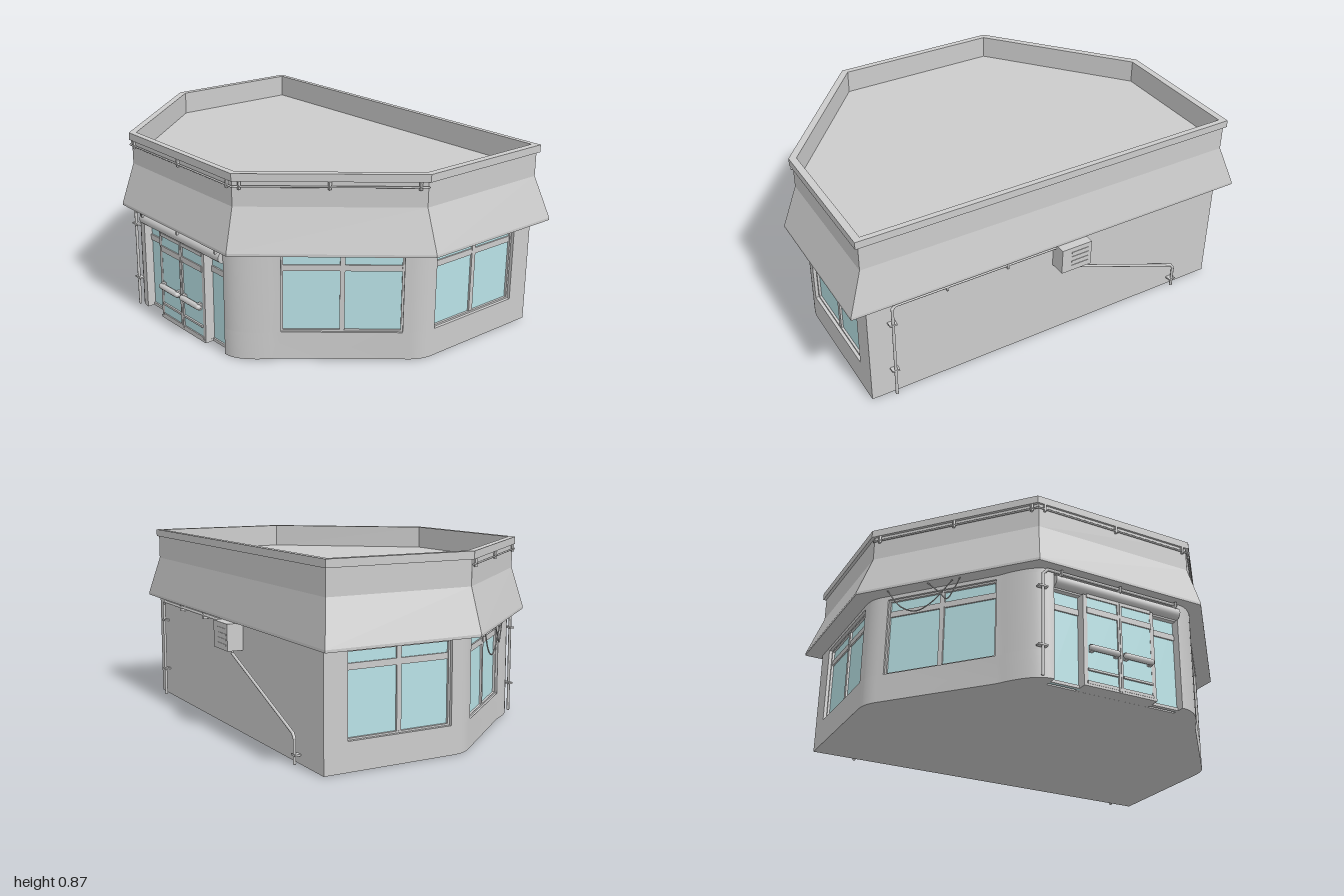
import * as THREE from 'three';
import { toCreasedNormals } from 'three/addons/utils/BufferGeometryUtils.js';

const grey = new THREE.MeshStandardMaterial({ color: 0xcccccc, side: THREE.DoubleSide });
const glass = new THREE.MeshStandardMaterial({ color: 0xb9e2e6 });
const V = (x, y, z) => new THREE.Vector3(x, y, z);

function add(parent, name, geo, mat = grey) {
  const m = new THREE.Mesh(geo, mat);
  m.name = name;
  parent.add(m);
  return m;
}

function box(parent, name, w, h, d, x, y, z, mat) {
  const m = add(parent, name, new THREE.BoxGeometry(w, h, d), mat);
  m.position.set(x, y, z);
  return m;
}

// Straight pipe runs with sharp bends
function pipe(parent, name, pts, r) {
  for (let i = 0; i + 1 < pts.length; i++)
    add(parent, name, new THREE.TubeGeometry(new THREE.LineCurve3(pts[i], pts[i + 1]), 1, r, 8));
  pts.forEach((p) => add(parent, name + 'Joint', new THREE.SphereGeometry(r * 1.1, 8, 6)).position.copy(p));
}

// Six-cornered outline: half width, back z, side corner z, front half width, front z
const ring = (w, zb, zm, f, zf) => [[w, zb], [w, zm], [f, zf], [-f, zf], [-w, zm], [-w, zb]];

// Skin stacked outlines, [y, ring]
function loft(levels) {
  const pos = [];
  for (let l = 0; l + 1 < levels.length; l++) {
    const [y0, r0] = levels[l], [y1, r1] = levels[l + 1];
    for (let i = 0; i < 6; i++) {
      const j = (i + 1) % 6;
      const a = [r0[i][0], y0, r0[i][1]], b = [r1[i][0], y1, r1[i][1]];
      const c = [r0[j][0], y0, r0[j][1]], d = [r1[j][0], y1, r1[j][1]];
      pos.push(...a, ...b, ...c, ...c, ...b, ...d);
    }
  }
  const g = new THREE.BufferGeometry();
  g.setAttribute('position', new THREE.Float32BufferAttribute(pos, 3));
  g.computeVertexNormals();
  return g;
}

// Point on the diagonal wall: s along it from the side corner, d inward
const diag = (s, d = 0) => [0.92 - 0.642 * s - 0.767 * d, 0.03 + 0.767 * s - 0.642 * d];

function curve(a, c, b) {
  const q = new THREE.QuadraticBezierCurve(...[a, c, b].map((p) => new THREE.Vector2(...p)));
  return q.getPoints(10).map((p) => [p.x, p.y]);
}

// Wall outline with rounded corners; optional recesses for windows and door
function wall(y0, y1, windows, door) {
  const half = [[0.92, -0.655]];
  if (windows) half.push([0.92, -0.545], [0.885, -0.545], [0.885, -0.04], [0.92, -0.04]);
  half.push(...curve([0.92, -0.03], [0.92, 0.03], diag(0.06)));
  if (windows) half.push(diag(0.09), diag(0.09, 0.03), diag(0.625, 0.03), diag(0.625));
  half.push(...curve(diag(0.635), [0.42, 0.677], [0.33, 0.677]));
  if (door) half.push([0.325, 0.677], [0.325, 0.61]);
  const all = [...half, ...half.map(([x, z]) => [-x, z]).reverse()];
  const shape = new THREE.Shape(all.map((p) => new THREE.Vector2(...p)));
  const g = new THREE.ExtrudeGeometry(shape, { depth: y1 - y0, bevelEnabled: false });
  g.rotateX(Math.PI / 2).translate(0, y1, 0);
  return toCreasedNormals(g, 0.5);
}

// Framed two-pane window, facing local +z
function windowUnit(parent, name, x, z, angle, w) {
  const g = new THREE.Group();
  g.name = name;
  g.position.set(x, 0.315, z);
  g.rotation.y = angle;
  const h = 0.37;
  box(g, 'pane', w, h, 0.01, 0, 0, 0.004, glass);
  for (const s of [-1, 1]) {
    box(g, 'frameSide', 0.009, h, 0.02, s * (w / 2 - 0.0045), 0, 0.01);
    box(g, 'frameRail', w, 0.008, 0.02, 0, s * (h / 2 - 0.004), 0.01);
  }
  box(g, 'mullion', 0.022, h, 0.018, 0, 0, 0.009);
  box(g, 'transom', w, 0.028, 0.016, 0, 0.115, 0.008);
  parent.add(g);
}

export function createModel() {
  const root = new THREE.Group();
  root.name = 'cornerShop';

  // Walls
  add(root, 'wallBase', wall(0, 0.13, false, true));
  add(root, 'wallPiers', wall(0.13, 0.5, true, true));
  add(root, 'wallTop', wall(0.5, 0.525, false, false));

  // Sloped fascia, parapet, coping and sunken roof deck
  const eave = ring(1, -0.69, 0.05, 0.425, 0.73);
  const parapet = ring(0.93, -0.65, 0.045, 0.4, 0.675);
  const coping = ring(0.945, -0.658, 0.047, 0.41, 0.685);
  const inner = ring(0.912, -0.632, 0.035, 0.393, 0.655);
  add(root, 'roof', loft([
    [0.52, ring(0.88, -0.62, 0.02, 0.38, 0.62)], [0.515, eave], [0.527, eave],
    [0.72, parapet], [0.835, parapet], [0.835, coping], [0.87, coping],
    [0.87, inner], [0.76, inner], [0.76, ring(0, 0, 0, 0, 0)],
  ]));

  // Windows on both sides and both diagonals
  const [dx, dz] = diag(0.3575, 0.03);
  for (const s of [-1, 1]) {
    windowUnit(root, 'sideWindow', s * 0.885, -0.2925, s * Math.PI / 2, 0.505);
    windowUnit(root, 'diagonalWindow', s * dx, dz, s * Math.atan2(0.767, 0.642), 0.535);
  }

  // Entrance: recessed side lights and projecting double doors
  const door = new THREE.Group();
  door.name = 'entrance';
  root.add(door);
  box(door, 'threshold', 0.37, 0.012, 0.075, 0, 0.006, 0.648);
  box(door, 'headPanel', 0.65, 0.065, 0.05, 0, 0.4675, 0.635);
  for (const s of [-1, 1]) {
    box(door, 'sideLight', 0.15, 0.435, 0.01, s * 0.25, 0.2175, 0.63, glass);
    box(door, 'sideLightTransom', 0.15, 0.028, 0.018, s * 0.25, 0.36, 0.633);
    box(door, 'sideLightSill', 0.15, 0.014, 0.02, s * 0.25, 0.007, 0.633);
    box(door, 'doorReturn', 0.02, 0.435, 0.06, s * 0.174, 0.2175, 0.652);
    box(door, 'doorPane', 0.165, 0.43, 0.01, s * 0.085, 0.22, 0.676, glass);
    box(door, 'doorStile', 0.01, 0.43, 0.016, s * 0.006, 0.22, 0.68);
    for (const [y, h] of [[0.36, 0.028], [0.43, 0.016], [0.018, 0.014]])
      box(door, 'doorRail', 0.165, h, 0.016, s * 0.085, y, 0.679);
    box(door, 'lowerBar', 0.15, 0.01, 0.012, s * 0.09, 0.077, 0.684);
    const bar = add(door, 'pushBar', new THREE.CapsuleGeometry(0.014, 0.13, 4, 10));
    bar.rotation.z = Math.PI / 2;
    bar.position.set(s * 0.088, 0.175, 0.7);
    for (const x of [0.025, 0.15]) box(door, 'barBracket', 0.016, 0.032, 0.022, s * x, 0.175, 0.69);
  }
  const roll = add(door, 'rollerShutter', new THREE.CylinderGeometry(0.027, 0.027, 0.65, 20));
  roll.rotation.z = Math.PI / 2;
  roll.position.set(0, 0.465, 0.675);

  // Front drain pipe with clips
  pipe(root, 'frontPipe', [V(-0.385, 0.005, 0.685), V(-0.385, 0.48, 0.685), V(-0.365, 0.502, 0.69),
    V(0.31, 0.502, 0.69)], 0.007);
  for (const y of [0.14, 0.42]) box(root, 'pipeClip', 0.045, 0.008, 0.025, -0.385, y, 0.68);
  for (const x of [-0.3, 0, 0.3]) box(root, 'pipeClip', 0.008, 0.03, 0.03, x, 0.495, 0.69);

  // Back piping and wall-mounted cooling unit
  pipe(root, 'backPipe', [V(0.81, 0.005, -0.676), V(0.81, 0.485, -0.676), V(0.795, 0.5, -0.676),
    V(-0.05, 0.5, -0.676)], 0.007);
  pipe(root, 'backDrainPipe', [V(-0.08, 0.4, -0.676), V(-0.08, 0.365, -0.676), V(-0.69, 0.13, -0.676),
    V(-0.705, 0.11, -0.676), V(-0.705, 0.005, -0.676)], 0.007);
  for (const [x, y] of [[0.81, 0.14], [0.81, 0.4], [-0.705, 0.04]])
    box(root, 'pipeClip', 0.035, 0.008, 0.03, x, y, -0.668);
  for (const x of [0.55, 0.25]) box(root, 'pipeClip', 0.008, 0.035, 0.03, x, 0.498, -0.668);
  box(root, 'coolingUnit', 0.155, 0.125, 0.08, -0.078, 0.452, -0.692);
  for (let i = 0; i < 4; i++) box(root, 'coolingSlat', 0.09, 0.008, 0.004, -0.095, 0.415 + i * 0.024, -0.732);

  // Light rail under the coping on the three front faces
  const rail = [[0.936, 0.05], [0.405, 0.682], [-0.405, 0.682], [-0.936, 0.05]];
  pipe(root, 'lightRail', rail.map(([x, z]) => V(x, 0.812, z)), 0.0045);
  for (let i = 0; i < 3; i++) {
    for (const t of [0.04, 0.5, 0.96]) {
      const x = THREE.MathUtils.lerp(rail[i][0], rail[i + 1][0], t);
      const z = THREE.MathUtils.lerp(rail[i][1], rail[i + 1][1], t);
      box(root, 'railBracket', 0.01, 0.035, 0.012, x, 0.817, z);
    }
  }

  // Loose cables hanging below the eave on the right diagonal
  const eaveZ = (x) => 0.02 + (1 + x) * 1.174;
  const hang = [[[-0.89, 0.52], [-0.84, 0.42], [-0.79, 0.387], [-0.74, 0.42], [-0.68, 0.51]],
    [[-0.76, 0.52], [-0.72, 0.46], [-0.695, 0.42], [-0.675, 0.46], [-0.655, 0.52]]];
  for (const pts of hang) {
    const c = new THREE.CatmullRomCurve3(pts.map(([x, y]) => V(x, y, eaveZ(x))));
    add(root, 'hangingCable', new THREE.TubeGeometry(c, 24, 0.003, 6));
  }
  return root;
}
